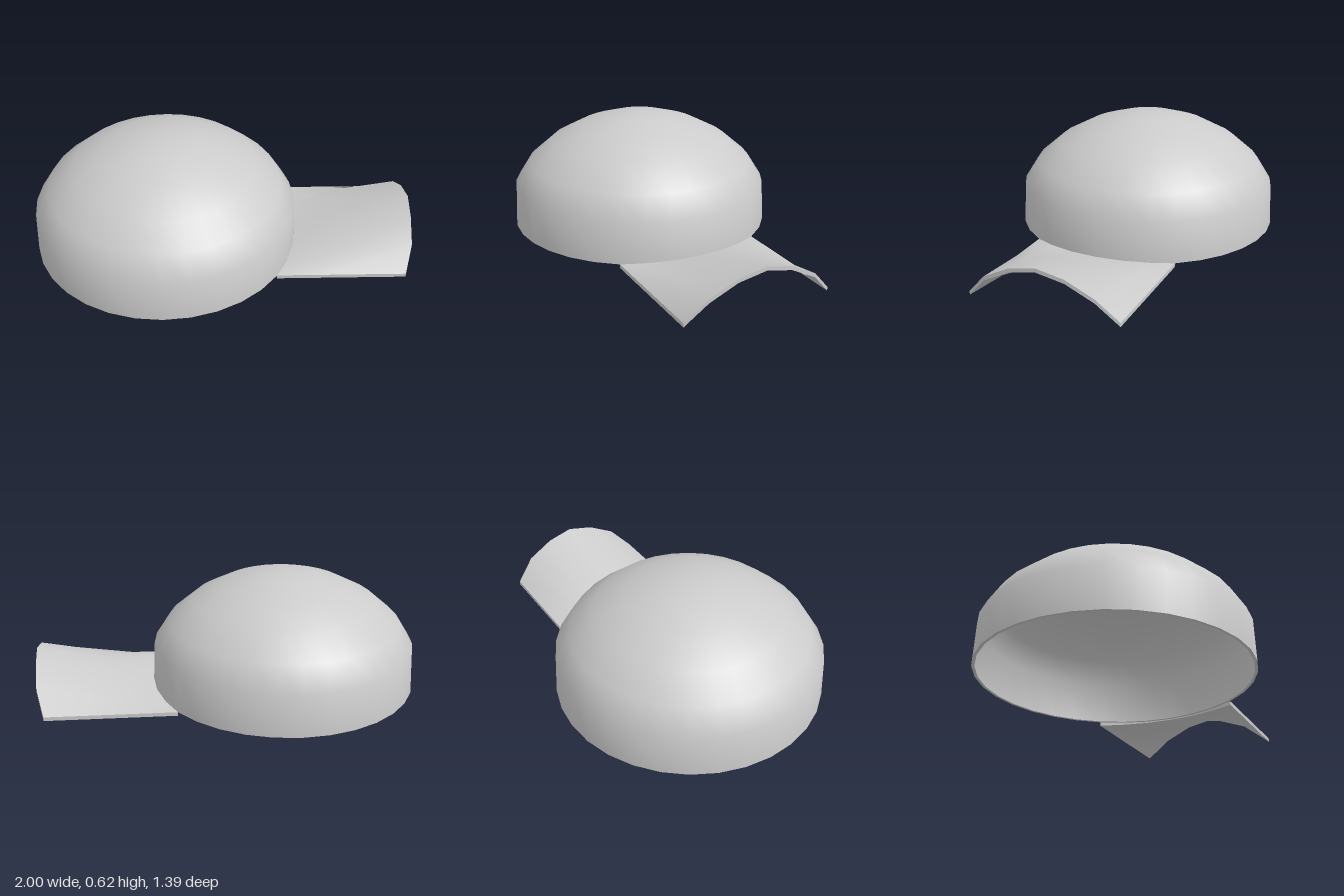
import * as THREE from 'three';
import { toCreasedNormals } from 'three/addons/utils/BufferGeometryUtils.js';

const material = new THREE.MeshStandardMaterial({ color: 0xcccccc });
const CROWN_X = -0.305, CROWN_R = 0.695, THICK = 0.02;

// Hollow dome: down the inside, around the rim and up the outside
function crown() {
  const outer = [[0.695, 0.02], [0.685, 0.24], [0.61, 0.36], [0.482, 0.47], [0.33, 0.55], [0.17, 0.6], [0, 0.617]];
  const inner = [[0.68, 0.02], [0.67, 0.235], [0.598, 0.349], [0.473, 0.457], [0.324, 0.535], [0.167, 0.584], [0, 0.601]];
  const profile = [...inner.reverse(), ...outer].map(([r, y]) => new THREE.Vector2(r, y));
  const mesh = new THREE.Mesh(toCreasedNormals(new THREE.LatheGeometry(profile, 32), 0.7), material);
  mesh.position.x = CROWN_X;
  mesh.name = 'crown';
  return mesh;
}

// Arched brim: flat against the crown, rising to an arch at its outer edge
function brim() {
  const half = [[0.385, 0, 0.94], [0.28, 0.11, 0.978], [0.14, 0.182, 0.99], [0, 0.213, 0.997]]; // z, height, outer x
  const columns = [...half.map(([z, h, x]) => [-z, h, x]), ...half.slice(0, 3).reverse()];
  const rows = [[0, 0.07], [0.35, 0.37], [1, 1]]; // distance outward, share of the arch height
  const n = columns.length, loop = 2 * n;
  const positions = [], index = [];

  // Closed cross-sections: across the top, then back along the underside
  for (const [t, rise] of rows) {
    const point = ([z, h, xEnd], lift) => {
      const xStart = CROWN_X + Math.sqrt(CROWN_R ** 2 - z ** 2);
      positions.push(THREE.MathUtils.lerp(xStart, xEnd, t), h * rise + lift, z);
    };
    columns.forEach((c) => point(c, THICK));
    [...columns].reverse().forEach((c) => point(c, 0));
  }
  for (let r = 0; r < rows.length - 1; r++) {
    for (let j = 0; j < loop; j++) {
      const a = r * loop + j, b = r * loop + (j + 1) % loop;
      index.push(a, b, a + loop, b, b + loop, a + loop);
    }
  }
  // Thin end faces
  const last = (rows.length - 1) * loop;
  for (let j = 0; j < n - 1; j++) {
    const k = loop - 1 - j;
    index.push(last + j, last + j + 1, last + k - 1, last + j, last + k - 1, last + k);
    index.push(j, k - 1, j + 1, j, k, k - 1);
  }
  const geometry = new THREE.BufferGeometry();
  geometry.setAttribute('position', new THREE.Float32BufferAttribute(positions, 3));
  geometry.setIndex(index);
  const mesh = new THREE.Mesh(toCreasedNormals(geometry, 0.7), material);
  mesh.name = 'brim';
  return mesh;
}

export function createModel() {
  const group = new THREE.Group();
  group.name = 'cap';
  group.add(crown(), brim());
  return group;
}
